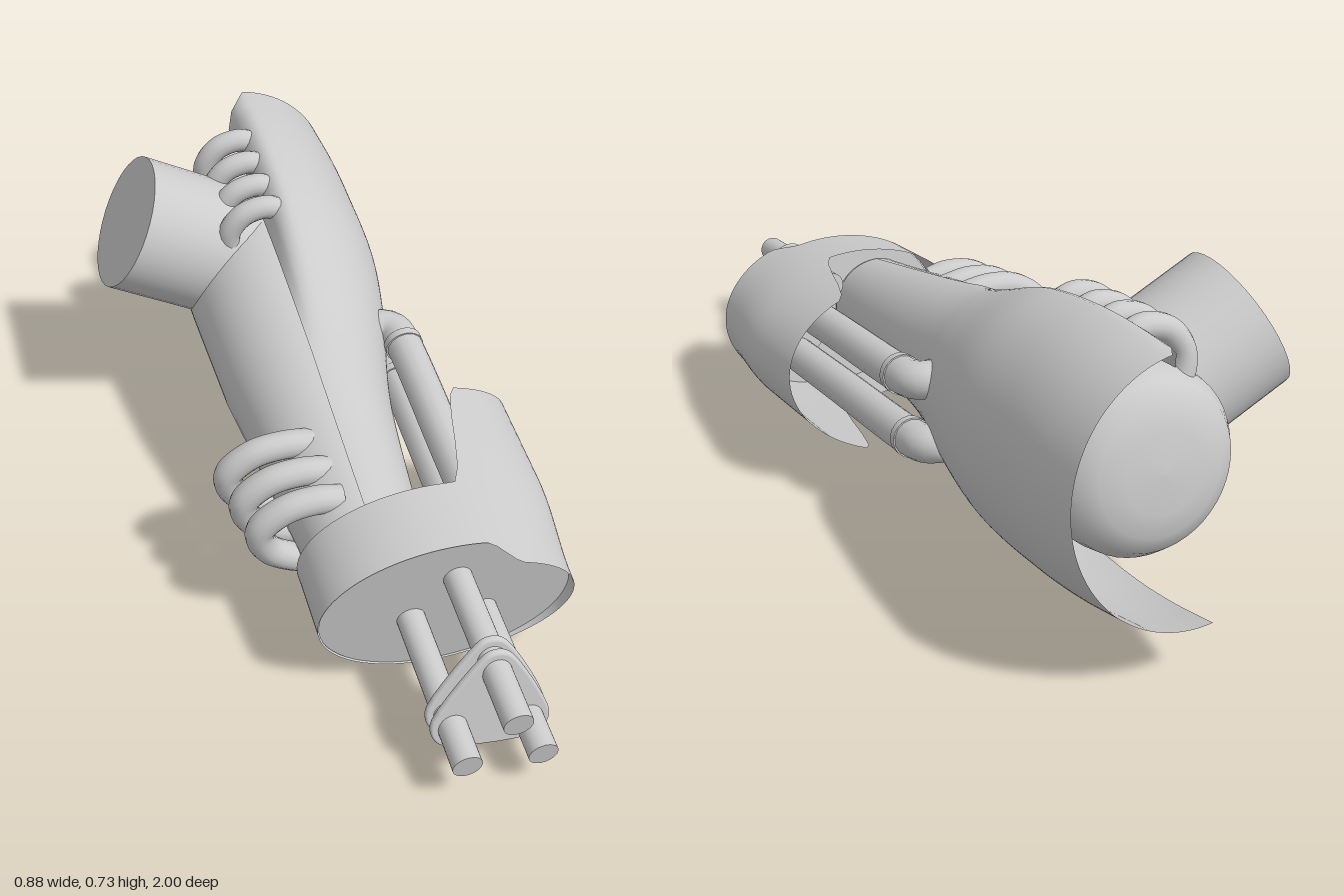
import * as THREE from 'three';
import { ParametricGeometry } from 'three/addons/geometries/ParametricGeometry.js';

const material = new THREE.MeshStandardMaterial({ color: 0xcccccc });
const thin = new THREE.MeshStandardMaterial({ color: 0xcccccc, side: THREE.DoubleSide });
const V = (x, y, z) => new THREE.Vector3(x, y, z);
const { smoothstep, lerp, clamp } = THREE.MathUtils;

// axis of the forearm in its tilted frame
const CX = -0.015, CY = 0.281;

function add(parent, name, geometry, mat = material) {
  const mesh = new THREE.Mesh(geometry, mat);
  mesh.name = name;
  parent.add(mesh);
  return mesh;
}

// cylinder along z between two depths
function rod(parent, name, x, y, z0, z1, r) {
  const g = new THREE.CylinderGeometry(r, r, z1 - z0, 24).rotateX(Math.PI / 2);
  return add(parent, name, g.translate(x, y, (z0 + z1) / 2));
}

function tube(parent, name, points, r) {
  const curve = new THREE.CatmullRomCurve3(points, false, 'centripetal');
  return add(parent, name, new THREE.TubeGeometry(curve, 60, r, 14));
}

function sheet(parent, name, rule, nu, nv) {
  const g = new ParametricGeometry(rule, nu, nv);
  g.computeVertexNormals();
  return add(parent, name, g, thin);
}

export function createModel() {
  const model = new THREE.Group();
  model.name = 'mechanicalForearm';
  const arm = new THREE.Group();
  arm.name = 'tiltedForearm';
  arm.rotation.x = 0.15;
  model.add(arm);

  // tapered inner core with a rounded rear cap
  const core = [[0, -0.9], [0.09, -0.896], [0.145, -0.884], [0.185, -0.86], [0.207, -0.825], [0.214, -0.78],
    [0.207, -0.5], [0.195, -0.2], [0.175, -0.02], [0.133, 0.42], [0.121, 0.56]];
  add(arm, 'innerCore', new THREE.LatheGeometry(core.map(([r, h]) => new THREE.Vector2(r, h)), 48)
    .rotateX(Math.PI / 2).translate(CX, CY, 0));

  // half shell over the outer side, [depth, half height, half width],
  // its upper edge rolled down onto the core
  const shellProfile = new THREE.CatmullRomCurve3([[-1.008, 0.296, 0.278], [-0.85, 0.316, 0.287],
    [-0.7, 0.322, 0.288], [-0.5, 0.307, 0.284], [-0.29, 0.25, 0.247], [-0.15, 0.213, 0.21],
    [0, 0.187, 0.18], [0.42, 0.138, 0.137], [0.55, 0.124, 0.124]].map((p) => V(...p)));
  sheet(arm, 'outerShell', (u, v, p) => {
    const q = shellProfile.getPoint(u);
    const corner = smoothstep(-q.x, 0.93, 1.01);
    const a = lerp(-1.69, 1.62 - 0.2 * corner, v);
    const x = CX + q.z * Math.cos(a);
    const t = clamp((0.03 - x) / 0.06, 0, 1) * (a > 0 ? 1 : 0);
    const roll = (1 - Math.sqrt(1 - t * t)) * Math.max(0, q.y - 0.2) * 0.85;
    p.set(x, CY + q.y * Math.sin(a) - roll, q.x);
  }, 48, 72);

  // oval cuff: short ring on the right, long flange on the left
  sheet(arm, 'wristCuff', (u, v, p) => {
    const a = u * Math.PI * 2, c = Math.cos(a);
    const y = 0.285 + 0.2 * Math.sin(a);
    const w = smoothstep(c, 0.18, 0.5);
    const t = (y - 0.085) / 0.4;
    const front = 0.565 + 0.06 * t * smoothstep(c, 0.25, 0.5);
    const back = lerp(0.385, -0.02 + 0.11 * t, w);
    const z = lerp(front, back, v);
    const rx = c > 0 ? 0.29 + 0.03 * smoothstep(-z, -0.62, -0.3) : 0.295;
    p.set(0.115 + rx * c, y, z);
  }, 96, 16);
  const plate = add(arm, 'frontPlate', new THREE.CircleGeometry(1, 64), thin);
  plate.scale.set(0.292, 0.199, 1);
  plate.position.set(0.115, 0.285, 0.56);

  // three front rods running through two thin rounded triangular plates
  const rods = [[0.135, 0.371], [0.037, 0.254], [0.207, 0.239]];
  rods.forEach(([x, y]) => rod(arm, 'frontRod', x, y, 0.5, 0.955, 0.033));
  const start = [Math.PI / 2, Math.PI * 1.15, Math.PI * 1.83];
  const outline = [];
  rods.forEach(([x, y], i) => {
    for (const d of [-0.9, -0.3, 0.3, 0.9]) {
      const a = start[i] + d;
      outline.push(V(x + 0.043 * Math.cos(a), y + 0.043 * Math.sin(a), 0));
    }
  });
  const rim = new THREE.CatmullRomCurve3(outline, true, 'centripetal').getPoints(60);
  const triangle = new THREE.Shape(rim.slice(0, -1).map((p) => new THREE.Vector2(p.x, p.y)));
  const spacer = new THREE.ExtrudeGeometry(triangle, {
    depth: 0.002, bevelThickness: 0.007, bevelSize: 0.006, bevelSegments: 4,
  });
  spacer.applyMatrix4(new THREE.Matrix4().makeShear(0, 0, 0, -0.15, 0, 0));
  const flat = spacer.attributes.position;
  for (let i = 0; i < flat.count; i++) {
    flat.setZ(i, flat.getZ(i) - 0.15 * (flat.getY(i) - 0.3));
  }
  spacer.computeVertexNormals();
  for (const z of [0.845, 0.88]) add(arm, 'rodSpacer', spacer).position.z = z;

  // side pipes bending into the shell, each with a collar
  for (const [y, z] of [[0.348, -0.262], [0.203, -0.292]]) {
    tube(arm, 'sidePipe', [V(0.246, y, 0.55), V(0.246, y, 0.2), V(0.246, y, z + 0.06), V(0.239, y, z + 0.02),
      V(0.222, y, z), V(0.19, y, z - 0.008), V(0.12, y, z - 0.01)], 0.045);
    rod(arm, 'pipeCollar', 0.246, y, z + 0.06, z + 0.08, 0.048);
  }

  // four small hoops on top
  for (const z of [-0.53, -0.62, -0.715, -0.81]) {
    tube(arm, 'topHoop', [V(0.01, 0.555, z), V(-0.03, 0.568, z), V(-0.085, 0.552, z),
      V(-0.119, 0.507, z), V(-0.12, 0.46, z), V(-0.09, 0.4, z)], 0.029);
  }

  // three large hoops on the right side, shrinking towards the wrist
  for (let i = -1; i <= 1; i++) {
    const z = 0.212 + 0.09 * i, dx = 0.016 * i;
    tube(arm, 'sideHoop', [V(-0.06, 0.395, z), V(-0.13 + dx, 0.405, z), V(-0.205 + dx, 0.39, z),
      V(-0.26 + dx, 0.337, z), V(-0.245 + dx, 0.272, z), V(-0.18 + dx, 0.222, z), V(-0.07, 0.2, z)], 0.034);
  }

  // slanted stub cylinder on the right
  const stub = add(model, 'elbowStub', new THREE.CylinderGeometry(0.172, 0.172, 0.4, 36));
  const dir = V(-0.892, 0.453, 0).normalize();
  stub.quaternion.setFromUnitVectors(V(0, 1, 0), dir);
  stub.position.copy(V(-0.3625, 0.5725, -0.575).addScaledVector(dir, -0.2));

  return model;
}
